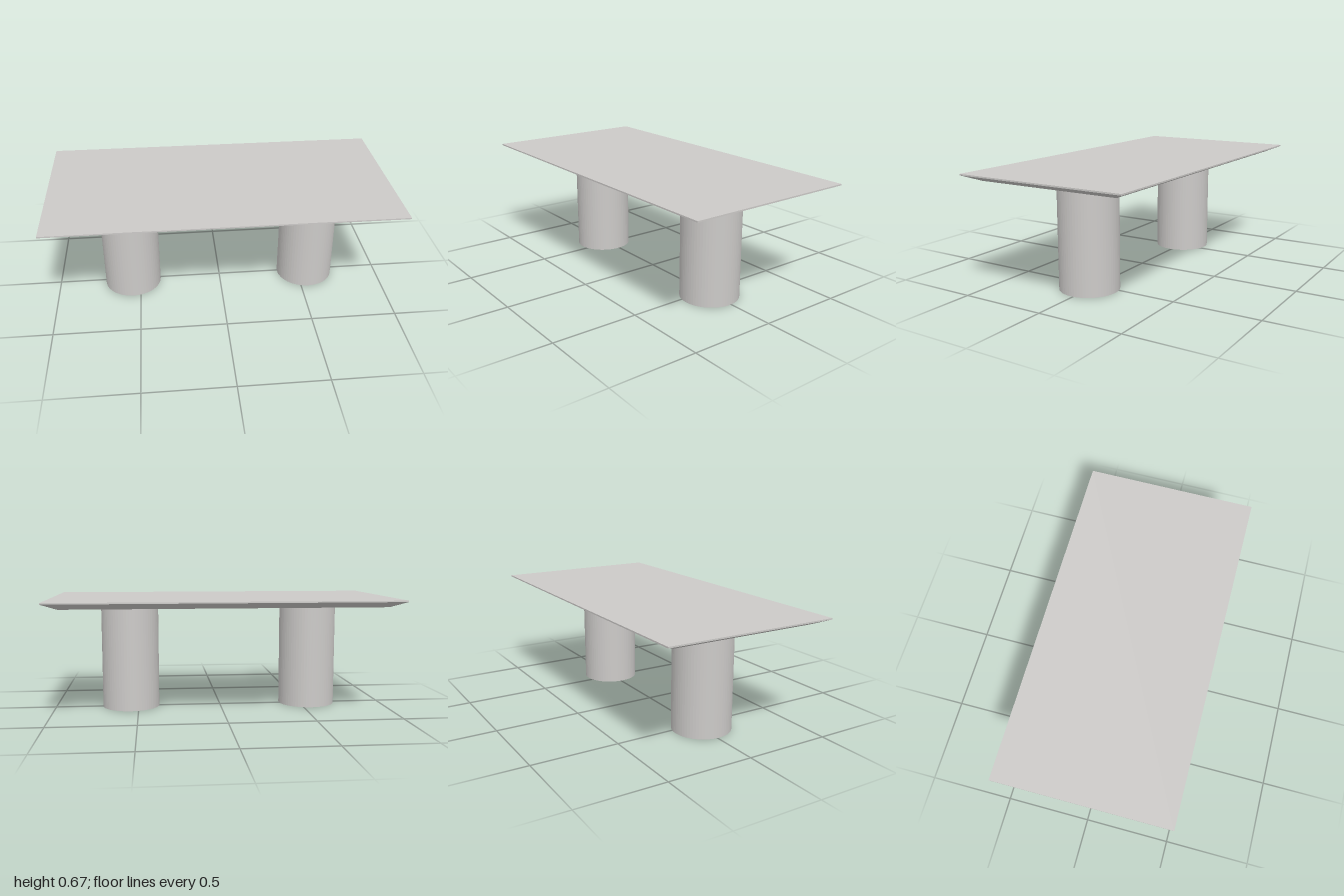
import * as THREE from 'three';

export function createModel() {
  const group = new THREE.Group();
  const stone = new THREE.MeshStandardMaterial({ color: 0xcccac8, flatShading: true });
  stone.name = 'warm grey';

  const top = 0.67, rim = 0.662, underside = 0.628;
  const halfX = 1, halfZ = 0.506, inset = 0.081;

  // Rectangular top: thin upright rim, then an undercut bevel to a smaller underside
  const slab = new THREE.BoxGeometry(2 * halfX, 2, 2 * halfZ, 1, 2, 1);
  const p = slab.attributes.position;
  for (let i = 0; i < p.count; i++) {
    const level = Math.round(p.getY(i));
    p.setY(i, [underside, rim, top][level + 1]);
    if (level === -1) {
      p.setX(i, Math.sign(p.getX(i)) * (halfX - inset));
      p.setZ(i, Math.sign(p.getZ(i)) * (halfZ - inset));
    }
  }
  const flatSlab = slab.toNonIndexed();
  flatSlab.computeVertexNormals();
  const tabletop = new THREE.Mesh(flatSlab, stone);
  tabletop.name = 'tabletop';
  group.add(tabletop);

  // Two round column legs
  const column = new THREE.CylinderGeometry(0.171, 0.171, underside, 64);
  for (const side of [-1, 1]) {
    const leg = new THREE.Mesh(column, stone);
    leg.name = side > 0 ? 'leftColumnLeg' : 'rightColumnLeg';
    leg.position.set(side * 0.546, underside / 2, 0.01);
    group.add(leg);
  }
  return group;
}
